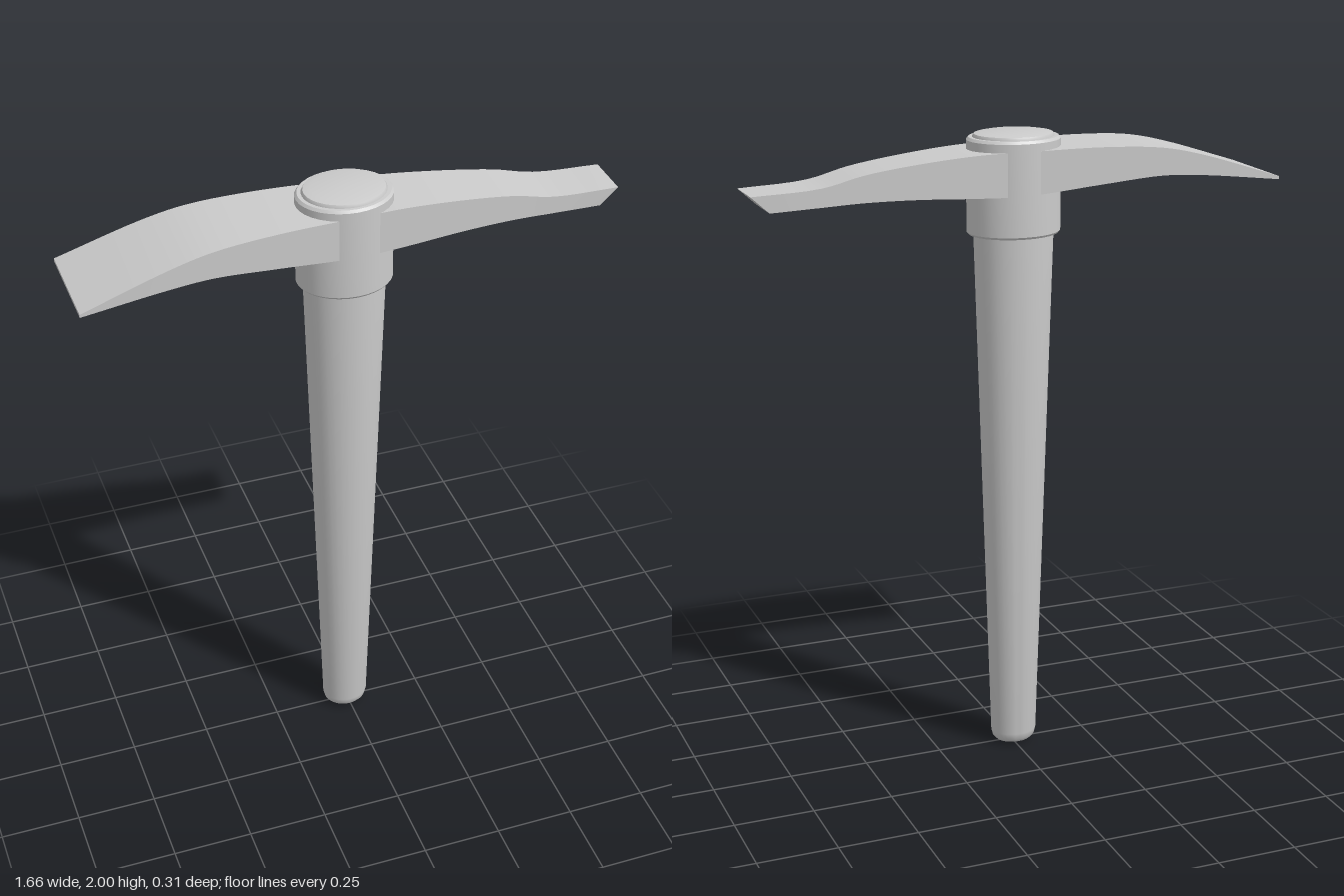
import * as THREE from 'three';
import { toCreasedNormals } from 'three/addons/utils/BufferGeometryUtils.js';

const V = (x, y, w) => new THREE.Vector3(x, y, w);

// Oval turned part: profile of [radius, y], flattened in z
function turned(name, profile, material) {
  const lathe = new THREE.LatheGeometry(profile.map(([r, y]) => new THREE.Vector2(r, y)), 32);
  lathe.scale(1, 1, 0.84);
  lathe.translate(-0.007, 0, -0.001);
  const mesh = new THREE.Mesh(toCreasedNormals(lathe, 0.6), material);
  mesh.name = name;
  return mesh;
}

// Four-sided bar swept between an upper and a lower curve (x, y, half width)
function bladeGeometry(upper, lower, steps) {
  const top = new THREE.CatmullRomCurve3(upper), bottom = new THREE.CatmullRomCurve3(lower);
  const rows = [];
  for (let i = 0; i <= steps; i++) {
    const a = top.getPoint(i / steps), b = bottom.getPoint(i / steps);
    rows.push([[a.x, a.y, a.z], [a.x, a.y, -a.z], [b.x, b.y, -b.z], [b.x, b.y, b.z]]);
  }
  const positions = [];
  const quad = (a, b, c, d) => positions.push(...a, ...b, ...c, ...a, ...c, ...d);
  for (let i = 0; i < steps; i++) {
    for (let k = 0; k < 4; k++) {
      const n = (k + 1) % 4;
      quad(rows[i][k], rows[i + 1][k], rows[i + 1][n], rows[i][n]);
    }
  }
  const first = rows[0], last = rows[steps];
  quad(first[0], first[1], first[2], first[3]);
  quad(last[3], last[2], last[1], last[0]);
  const geometry = new THREE.BufferGeometry();
  geometry.setAttribute('position', new THREE.Float32BufferAttribute(positions, 3));
  return toCreasedNormals(geometry, 0.5);
}

export function createModel() {
  const group = new THREE.Group();
  group.name = 'pickaxe';
  const material = new THREE.MeshStandardMaterial({ color: 0xcccccc });

  // Tapered handle, rounded at the foot and slightly domed at the top
  group.add(turned('handle', [
    [0, 0], [0.042, 0.002], [0.058, 0.008], [0.069, 0.02], [0.074, 0.04],
    [0.125, 1.69], [0.127, 1.985], [0.122, 1.994], [0.1, 1.998], [0, 2],
  ], material));

  // Collar ring around the handle, with bevelled rims
  group.add(turned('collar', [
    [0.118, 1.69], [0.14, 1.69], [0.146, 1.697], [0.146, 1.977], [0.139, 1.985], [0.118, 1.985],
  ], material));

  // Head: broad adze blade on one side, narrow chisel on the other
  const upper = [
    V(-0.83, 1.832, 0.155), V(-0.57, 1.914, 0.145), V(-0.44, 1.942, 0.138), V(-0.25, 1.954, 0.127),
    V(0, 1.952, 0.112), V(0.14, 1.95, 0.104), V(0.33, 1.934, 0.092), V(0.49, 1.912, 0.083),
    V(0.62, 1.882, 0.078), V(0.83, 1.871, 0.073),
  ];
  const lower = [
    V(-0.83, 1.822, 0.155), V(-0.57, 1.851, 0.145), V(-0.44, 1.857, 0.138), V(-0.25, 1.842, 0.127),
    V(0, 1.82, 0.112), V(0.14, 1.822, 0.104), V(0.33, 1.83, 0.092), V(0.49, 1.831, 0.083),
    V(0.62, 1.826, 0.078), V(0.775, 1.82, 0.073),
  ];
  const head = new THREE.Mesh(bladeGeometry(upper, lower, 45), material);
  head.name = 'pickHead';
  head.position.z = -0.003;
  group.add(head);

  return group;
}
